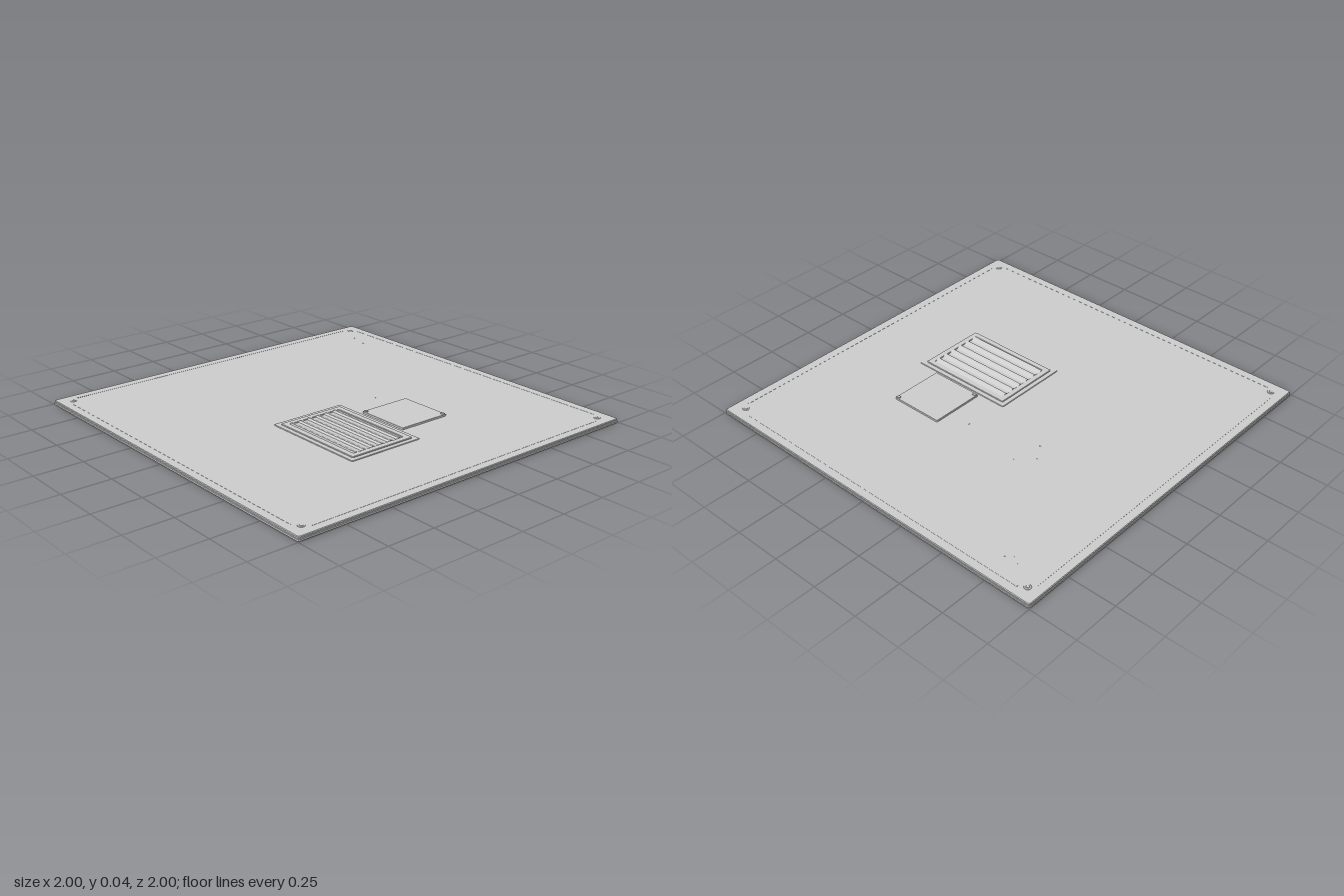
import * as THREE from 'three';

const material = new THREE.MeshStandardMaterial({ color: 0xcccccc, flatShading: true });

// Rounded rectangle centred on the origin
function roundedRect(w, d, r, Type = THREE.Shape) {
  const s = new Type(), x = w / 2, y = d / 2;
  s.moveTo(-x + r, -y);
  s.lineTo(x - r, -y);
  s.quadraticCurveTo(x, -y, x, -y + r);
  s.lineTo(x, y - r);
  s.quadraticCurveTo(x, y, x - r, y);
  s.lineTo(-x + r, y);
  s.quadraticCurveTo(-x, y, -x, y - r);
  s.lineTo(-x, -y + r);
  s.quadraticCurveTo(-x, -y, -x + r, -y);
  return s;
}

// Flat slab lying on y0 with a chamfered edge and an optional opening
function slab(w, d, y0, y1, r, bevel, hole) {
  const shape = roundedRect(w - 2 * bevel, d - 2 * bevel, r);
  if (hole) shape.holes.push(roundedRect(hole[0], hole[1], 0.005, THREE.Path));
  const geo = new THREE.ExtrudeGeometry(shape, {
    depth: y1 - y0 - 2 * bevel, bevelEnabled: bevel > 0, bevelThickness: bevel,
    bevelSize: bevel, bevelSegments: 1, curveSegments: 4,
  });
  return geo.rotateX(-Math.PI / 2).translate(0, y0 + bevel, 0);
}

function add(parent, name, geo, x = 0, y = 0, z = 0) {
  const mesh = new THREE.Mesh(geo, material);
  mesh.name = name;
  mesh.position.set(x, y, z);
  parent.add(mesh);
  return mesh;
}

function createVent() {
  const vent = new THREE.Group();
  vent.name = 'vent';
  add(vent, 'ventFlange', slab(0.58, 0.42, 0.018, 0.026, 0.008, 0.002));
  add(vent, 'ventFrame', slab(0.53, 0.37, 0.024, 0.031, 0.008, 0.002, [0.47, 0.31]));
  // Louvre slats: low wedges, steep on the front side
  const wedge = new THREE.Shape();
  wedge.moveTo(-0.02, 0);
  wedge.lineTo(0.02, 0);
  wedge.lineTo(0.012, 0.009);
  wedge.lineTo(0.004, 0.009);
  const slat = new THREE.ExtrudeGeometry(wedge, { depth: 0.47, bevelEnabled: false });
  slat.translate(0, 0, -0.235).rotateY(-Math.PI / 2);
  for (let i = 0; i < 6; i++) add(vent, 'louvre', slat, 0, 0.0255, -0.135 + i * 0.054);
  vent.position.set(0.28, 0, 0.14);
  return vent;
}

function createHatch() {
  const hatch = new THREE.Group();
  hatch.name = 'hatch';
  add(hatch, 'hatchCover', slab(0.29, 0.29, 0.018, 0.032, 0.003, 0.001));
  // Small catches at two opposite corners
  const catchGeo = new THREE.BoxGeometry(0.018, 0.005, 0.014);
  for (const s of [-1, 1]) add(hatch, 'catch', catchGeo, s * 0.133, 0.034, -s * 0.133);
  hatch.position.set(0.29, 0, -0.23);
  return hatch;
}

export function createModel() {
  const model = new THREE.Group();
  model.name = 'accessPanel';

  // Base sheet and the face plate on top of it
  add(model, 'baseSheet', slab(2, 2, 0, 0.012, 0.012, 0.002));
  add(model, 'facePlate', slab(1.994, 1.994, 0.01, 0.022, 0.012, 0.003));

  // Thin trim lines along the four edges
  const trim = new THREE.BoxGeometry(1.78, 0.002, 0.006);
  for (let i = 0; i < 4; i++) {
    const side = new THREE.Group();
    side.name = 'edgeTrim';
    add(side, 'trimStrip', trim, 0, 0.0218, 0.95);
    side.rotation.y = i * Math.PI / 2;
    model.add(side);
  }

  // Corner screws with a washer
  const washer = new THREE.CylinderGeometry(0.016, 0.018, 0.002, 16);
  const head = new THREE.CylinderGeometry(0.008, 0.01, 0.002, 6);
  for (const x of [-0.925, 0.925]) for (const z of [-0.925, 0.925]) {
    const screw = new THREE.Group();
    screw.name = 'cornerScrew';
    add(screw, 'washer', washer, 0, 0.0225, 0);
    add(screw, 'screwHead', head, 0, 0.0242, 0);
    screw.position.set(x, 0, z);
    model.add(screw);
  }

  // Tiny rivets on the face
  const rivet = new THREE.CylinderGeometry(0.003, 0.004, 0.001, 8);
  const spots = [[-0.35, -0.18], [-0.32, -0.34], [-0.4, -0.26], [0.02, -0.28]];
  for (let i = 0; i < 4; i++) spots.push([-0.8 + i * 0.035, -0.85 + (i % 2) * 0.025]);
  for (const [x, z] of spots) add(model, 'rivet', rivet, x, 0.0223, z);

  model.add(createVent(), createHatch());
  return model;
}
